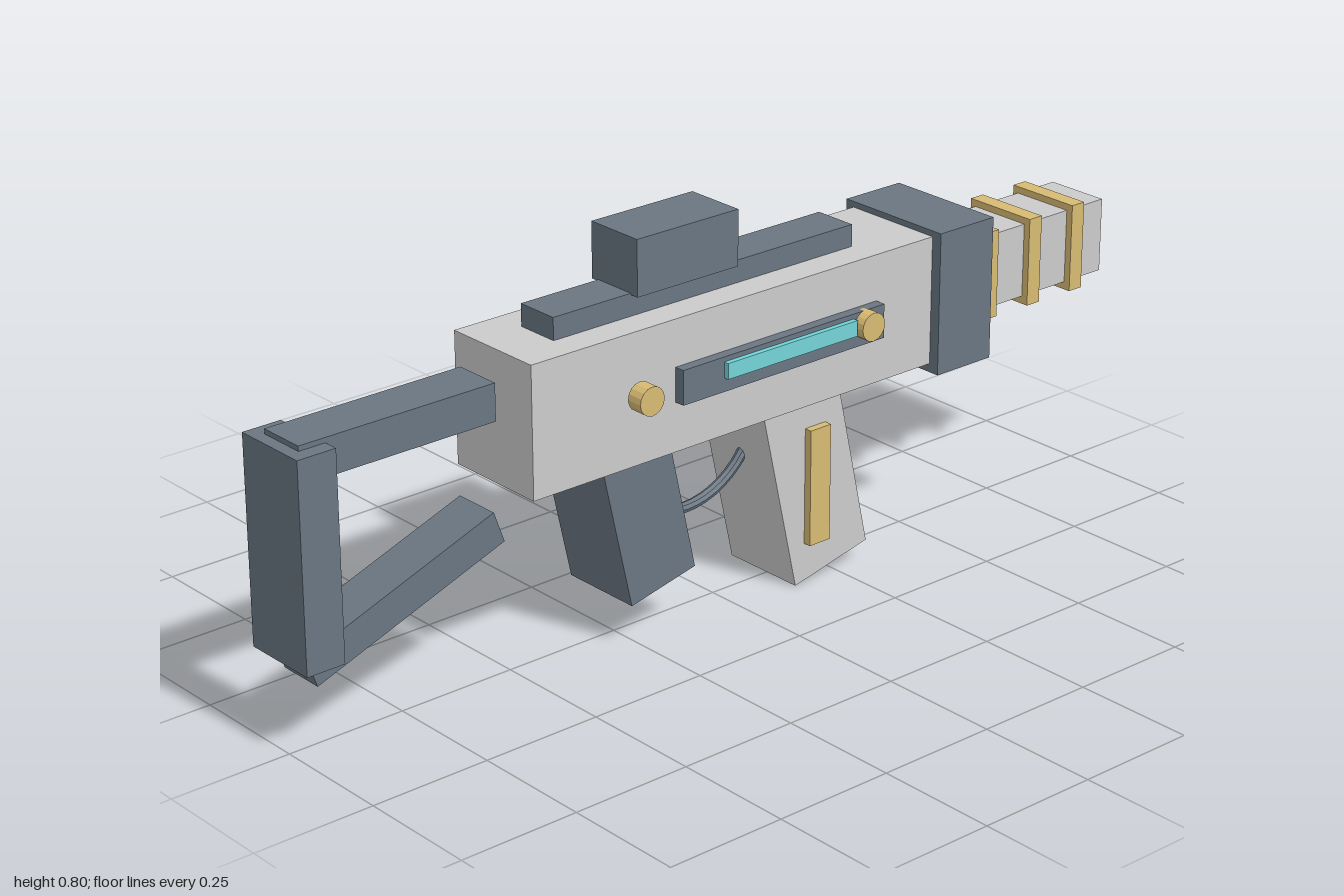
import * as THREE from 'three';

const paint = (color) => new THREE.MeshStandardMaterial({ color, flatShading: true });

export function createModel() {
  const model = new THREE.Group();
  const grey = paint(0xcccccc);
  const slate = paint(0x6a7682);
  const gold = paint(0xd8bb74);
  const cyan = paint(0x74d4d8);

  const add = (name, geometry, material, x, y, z, tilt = 0) => {
    const mesh = new THREE.Mesh(geometry, material);
    mesh.name = name;
    mesh.position.set(x, y, z);
    mesh.rotation.z = tilt;
    model.add(mesh);
    return mesh;
  };
  // Upright box given by its extents on each axis
  const block = (name, material, [x0, x1], [y0, y1], [z0, z1]) =>
    add(name, new THREE.BoxGeometry(x1 - x0, y1 - y0, z1 - z0), material,
      (x0 + x1) / 2, (y0 + y1) / 2, (z0 + z1) / 2);
  // Box tilted in the side plane, given by centre and size
  const tilted = (name, material, x, y, w, h, d, tilt) =>
    add(name, new THREE.BoxGeometry(w, h, d), material, x, y, -0.01, tilt);

  // Main housing and front collar
  block('body', grey, [-0.515, 0.5], [0.39, 0.655], [-0.123, 0.1]);
  block('frontCollar', slate, [0.477, 0.62], [0.372, 0.667], [-0.143, 0.123]);

  // Barrel with glowing base and three bands
  block('barrel', grey, [0.6, 1], [0.443, 0.597], [-0.08, 0.058]);
  block('barrelGlow', cyan, [0.6, 0.66], [0.447, 0.595], [-0.086, 0.064]);
  for (const x of [0.671, 0.792, 0.914]) {
    block('barrelBand', gold, [x - 0.017, x + 0.017], [0.427, 0.611], [-0.093, 0.073]);
  }

  // Top rail and sight
  block('rail', slate, [-0.412, 0.323], [0.655, 0.7], [-0.057, 0.036]);
  block('sight', slate, [-0.23, 0.015], [0.697, 0.81], [-0.075, 0.055]);

  // Side panel, light strip and knobs
  block('sidePanel', slate, [-0.178, 0.33], [0.49, 0.56], [0.09, 0.122]);
  block('lightStrip', cyan, [-0.078, 0.25], [0.518, 0.55], [0.11, 0.133]);
  for (const x of [-0.272, 0.281]) {
    const knob = add('knob', new THREE.CylinderGeometry(0.029, 0.029, 0.035, 16), gold, x, 0.532, 0.128);
    knob.rotation.x = Math.PI / 2;
  }

  // Rear grip, magazine and its gold plate
  tilted('grip', slate, -0.232, 0.288, 0.16, 0.36, 0.18, 0.22);
  tilted('magazine', grey, 0.191, 0.224, 0.192, 0.4, 0.187, 0.22);
  block('magazinePlate', gold, [0.163, 0.215], [0.092, 0.335], [0.08, 0.1]);

  // Trigger guard: lower half ring
  add('triggerGuard', new THREE.TorusGeometry(0.187, 0.011, 8, 24, Math.PI), slate,
    -0.065, 0.392, -0.01, Math.PI);

  // Shoulder stock
  block('stockBar', slate, [-0.975, -0.547], [0.535, 0.61], [-0.065, 0.036]);
  block('stockPad', slate, [-1, -0.918], [0.185, 0.6], [-0.097, 0.067]);
  tilted('stockStrut', slate, -0.76, 0.2525, 0.45, 0.068, 0.1, 0.347);

  return model;
}
